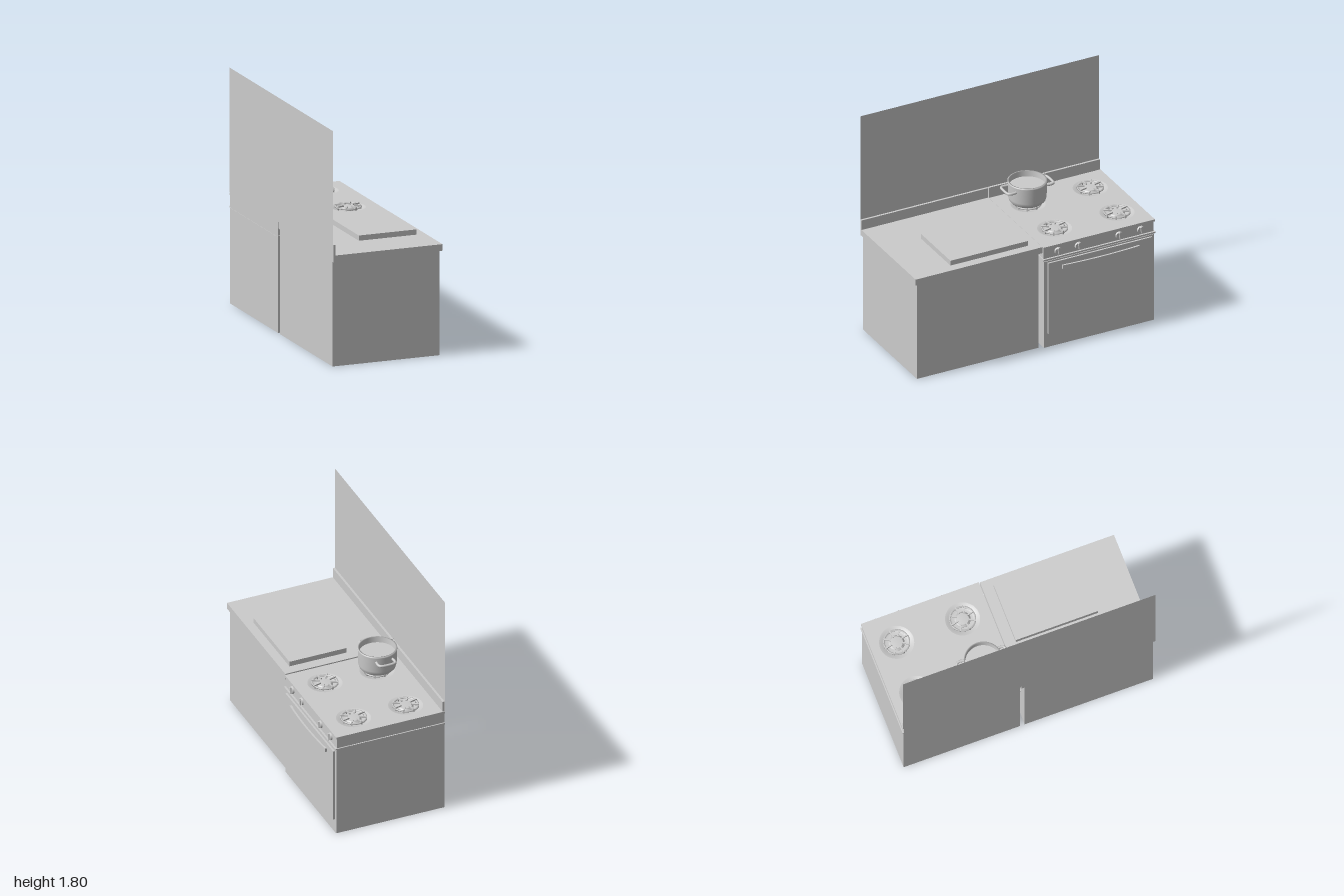
import * as THREE from 'three';
import { RoundedBoxGeometry } from 'three/addons/geometries/RoundedBoxGeometry.js';

const grey = new THREE.MeshStandardMaterial({ color: 0xcccccc, side: THREE.DoubleSide });
const V = (x, z, y = 0) => new THREE.Vector3(x, y, z);

function add(parent, name, geometry, x = 0, y = 0, z = 0) {
  const m = new THREE.Mesh(geometry, grey);
  m.name = name;
  m.position.set(x, y, z);
  parent.add(m);
  return m;
}

// Box given by its limits on each axis
function block(parent, name, [x0, x1], [y0, y1], [z0, z1]) {
  return add(parent, name, new THREE.BoxGeometry(x1 - x0, y1 - y0, z1 - z0),
    (x0 + x1) / 2, (y0 + y1) / 2, (z0 + z1) / 2);
}

function group(parent, name) {
  const g = new THREE.Group();
  g.name = name;
  parent.add(g);
  return g;
}

const lathe = (pts, n = 48) => new THREE.LatheGeometry(pts.map(p => new THREE.Vector2(...p)), n);

const WELL = 0.13, TOP = 0.845;
const BURNERS = [[-0.23, -0.8], [0.19, -0.8], [-0.23, -0.28], [0.19, -0.28]];

function addBurner(parent, x, z) {
  const b = group(parent, 'burner');
  b.position.set(x, TOP, z);
  // shallow dish pressed into the hob
  add(b, 'burnerDish', lathe([[0, -0.017], [0.075, -0.017], [0.095, -0.012], [0.112, -0.004], [WELL, 0]]));
  add(b, 'burnerCap', lathe([[0, 0.005], [0.045, 0.005], [0.05, 0.001], [0.05, -0.006], [0.06, -0.008], [0.06, -0.017]], 32));
  // pan support ring with radial prongs
  add(b, 'supportRing', lathe([[0.088, 0], [0.1, 0], [0.1, 0.01], [0.088, 0.01], [0.088, 0]], 40));
  for (let i = 0; i < 8; i++) {
    const arm = group(b, 'prong');
    arm.rotation.y = (i + 0.3) * Math.PI / 4;
    block(arm, 'prongBar', [0.042, 0.098], [0.008, 0.019], [-0.005, 0.005]);
    block(arm, 'prongLeg', [0.088, 0.1], [-0.014, 0.015], [-0.005, 0.005]);
  }
}

function addPot(parent) {
  const pot = group(parent, 'pot');
  pot.position.set(-0.235, 0.865, -0.277);
  add(pot, 'potBody', lathe([[0, 0], [0.1, 0], [0.122, 0.008], [0.136, 0.024], [0.143, 0.05], [0.145, 0.165],
    [0.147, 0.168], [0.147, 0.18], [0.135, 0.18], [0.134, 0.05], [0.12, 0.02], [0.1, 0.012], [0, 0.012]]));
  const fill = add(pot, 'potContents', new THREE.CircleGeometry(0.135, 48), 0, 0.135, 0);
  fill.rotation.x = -Math.PI / 2;
  for (const s of [1, -1]) {
    const path = new THREE.CatmullRomCurve3([V(-0.064, 0.125), V(-0.067, 0.165), V(-0.06, 0.185), V(-0.042, 0.192),
      V(0.042, 0.192), V(0.06, 0.185), V(0.067, 0.165), V(0.064, 0.125)]);
    const h = add(pot, 'potHandle', new THREE.TubeGeometry(path, 36, 0.01, 10), 0, 0.135, 0);
    h.rotation.y = s > 0 ? 0 : Math.PI;
  }
}

function addCounter(parent) {
  const c = group(parent, 'counter');
  block(c, 'cabinet', [-0.458, 0.395], [0, 0.8], [-0.035, 0.978]);
  block(c, 'worktop', [-0.46, 0.412], [0.8, 0.85], [-0.06, 0.997]);
  block(c, 'worktopBacksplash', [-0.46, -0.443], [0.85, 0.93], [-0.06, 0.997]);
  block(c, 'choppingBoard', [-0.12, 0.342], [0.85, 0.89], [0.022, 0.67]);
}

function addCooker(parent) {
  const s = group(parent, 'cooker');

  // body is a shell open underneath
  const shell = new THREE.BoxGeometry(0.868, 0.73, 0.918);
  const index = Array.from(shell.index.array);
  shell.setIndex(index.filter((_, i) => i < 18 || i >= 24));
  add(s, 'cookerBody', shell, -0.024, 0.365, -0.53);
  block(s, 'trimLedge', [-0.46, 0.425], [0.733, 0.745], [-0.998, -0.064]);
  const band = new THREE.BoxGeometry(0.87, 0.085, 0.918);
  band.setIndex(index.filter((_, i) => i < 12 || i >= 24));
  add(s, 'controlPanel', band, -0.025, 0.7875, -0.53);

  // hob plate with four round openings
  const plate = new THREE.Shape([[-0.46, 0.066], [0.418, 0.066], [0.418, 0.997], [-0.46, 0.997]]
    .map(p => new THREE.Vector2(...p)));
  for (const [x, z] of BURNERS) {
    plate.holes.push(new THREE.Path().absarc(x, -z, WELL, 0, Math.PI * 2, true));
  }
  const hob = add(s, 'hobPlate', new THREE.ExtrudeGeometry(plate,
    { depth: 0.016, bevelEnabled: false, curveSegments: 24 }), 0, TOP - 0.016, 0);
  hob.rotation.x = -Math.PI / 2;
  for (const [x, z] of BURNERS) addBurner(s, x, z);
  block(s, 'cookerBacksplash', [-0.46, -0.443], [TOP, 0.93], [-0.992, -0.066]);

  // oven door and lower front
  block(s, 'frontFrame', [0.405, 0.416], [0, 0.722], [-0.988, -0.072]);
  block(s, 'ovenDoor', [0.412, 0.43], [0.112, 0.71], [-0.968, -0.102]);

  // gently bowed door handle
  const bow = new THREE.BoxGeometry(0.014, 0.032, 0.64, 1, 1, 20);
  const p = bow.attributes.position;
  for (let i = 0; i < p.count; i++) {
    const t = p.getZ(i) / 0.32;
    p.setX(i, p.getX(i) + 0.014 * (1 - t * t));
  }
  bow.computeVertexNormals();
  add(s, 'doorHandle', bow, 0.439, 0.657, -0.535);
  for (const z of [-0.235, -0.835]) {
    block(s, 'handleMount', [0.425, 0.444], [0.643, 0.671], [z - 0.018, z + 0.018]);
  }

  // control knobs
  for (const z of [-0.19, -0.36, -0.7, -0.88]) {
    const knob = group(s, 'knob');
    knob.position.set(0.408, 0.787, z);
    const disc = add(knob, 'knobDisc', new THREE.CylinderGeometry(0.027, 0.03, 0.014, 28), 0.008, 0, 0);
    disc.rotation.z = -Math.PI / 2;
    const grip = add(knob, 'knobGrip', new RoundedBoxGeometry(0.016, 0.054, 0.012, 2, 0.004), 0.017, 0, 0);
    grip.rotation.x = 0.15;
  }
}

export function createModel() {
  const model = new THREE.Group();
  model.name = 'kitchenUnit';

  // thin wall panel behind both units
  const wall = add(model, 'wallPanel', new THREE.PlaneGeometry(1.99, 0.95), -0.461, 1.325, 0);
  wall.rotation.y = Math.PI / 2;

  addCounter(model);
  addCooker(model);
  addPot(model);
  return model;
}
